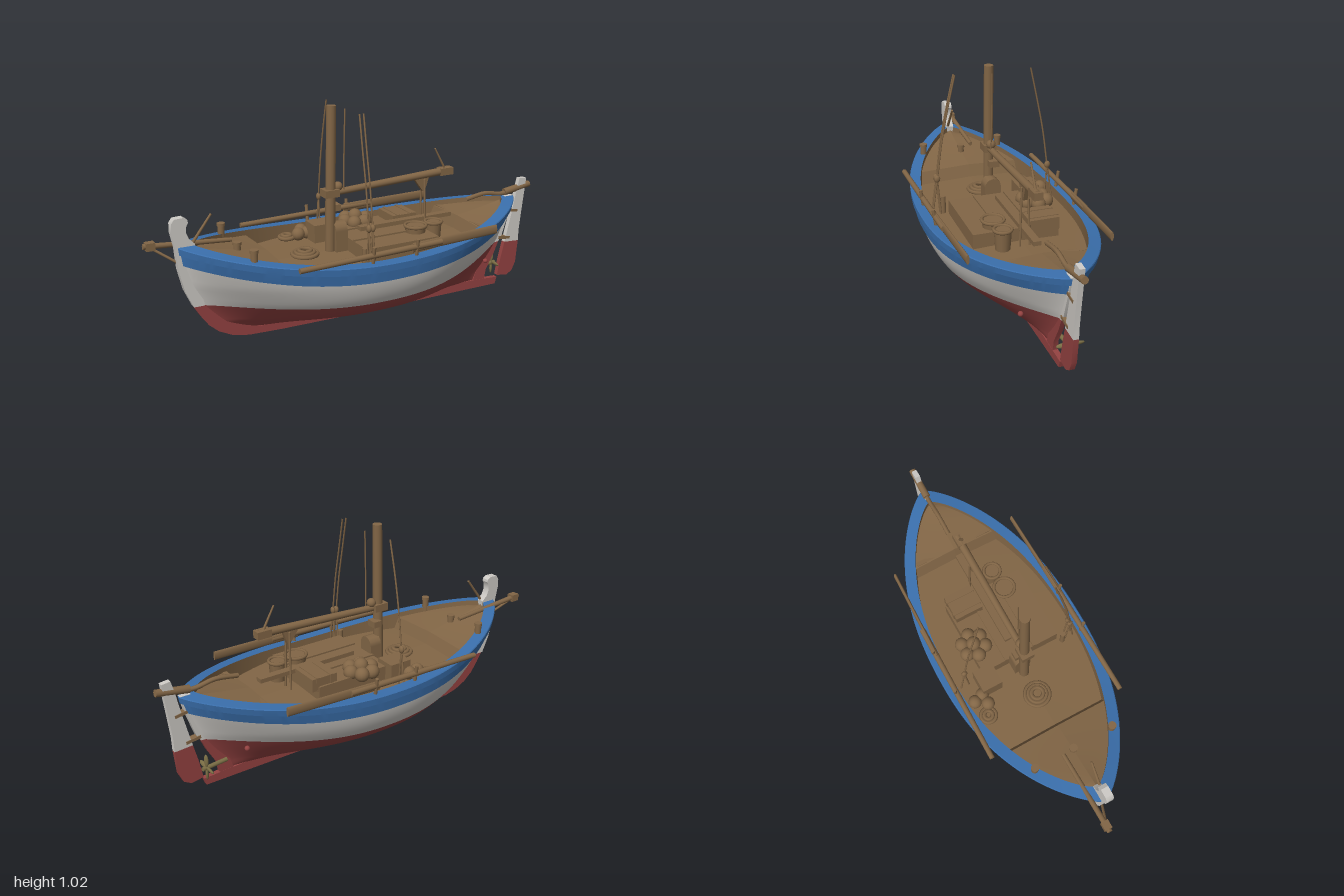
import * as THREE from 'three';
import { toCreasedNormals } from 'three/addons/utils/BufferGeometryUtils.js';

export function createModel() {
  const boat = new THREE.Group();
  boat.name = 'boat';
  const mat = (name, color) => {
    const m = new THREE.MeshStandardMaterial({ color });
    m.name = name;
    return m;
  };
  const wood = mat('wood', 0x826646), blue = mat('blue paint', 0x3a6fac);
  const white = mat('white paint', 0xcdcac5), red = mat('red paint', 0x944241);
  const bronze = mat('dull bronze', 0x7b6e45);

  // ---------- helpers ----------
  const add = (name, geo, m, p = [0, 0, 0], r = [0, 0, 0]) => {
    const mesh = new THREE.Mesh(geo, m);
    mesh.name = name;
    mesh.position.set(...p);
    mesh.rotation.set(...r);
    boat.add(mesh);
    return mesh;
  };
  const box = (name, size, p, m = wood, r) => add(name, new THREE.BoxGeometry(...size), m, p, r);
  const ball = (name, r, p, m = wood) => add(name, new THREE.SphereGeometry(r, 14, 10), m, p);
  const rod = (name, a, b, r0, r1 = r0, m = wood) => {
    const A = new THREE.Vector3(...a), B = new THREE.Vector3(...b), d = B.clone().sub(A);
    const mesh = add(name, new THREE.CylinderGeometry(r1, r0, d.length(), 12), m);
    mesh.position.copy(A).add(B).multiplyScalar(0.5);
    mesh.quaternion.setFromUnitVectors(new THREE.Vector3(0, 1, 0), d.normalize());
    return mesh;
  };
  const tube = (name, pts, r, m = wood) => add(name, new THREE.TubeGeometry(
    new THREE.CatmullRomCurve3(pts.map(p => new THREE.Vector3(...p))), 20, r, 7), m);
  const plate = (name, pts, t, m) => {
    const g = new THREE.ExtrudeGeometry(new THREE.Shape(pts.map(p => new THREE.Vector2(...p))),
      { depth: t, bevelEnabled: false });
    g.translate(0, 0, -t / 2);
    return add(name, toCreasedNormals(g, 0.6), m);
  };
  const interp = (table, k) => {
    let i = 0;
    while (i < table.length - 2 && k > table[i + 1][0]) i++;
    const [a, b] = [table[i], table[i + 1]];
    return a[1] + (b[1] - a[1]) * Math.min(1, Math.max(0, (k - a[0]) / (b[0] - a[0])));
  };

  // ---------- hull form: s runs from bow (-1) to stern (1) ----------
  const floor = 0.033;
  const bowX = [[0.03, -0.52], [0.05, -0.63], [0.1, -0.72], [0.2, -0.79], [0.3, -0.828], [0.4, -0.848], [0.5, -0.856]];
  const sternX = [[0.03, 0.72], [0.08, 0.73], [0.17, 0.78], [0.25, 0.82], [0.4, 0.865], [0.5, 0.882]];
  const sheer = s => 0.382 + (s < 0 ? 0.103 : 0.083) * s * s;
  const water = s => 0.175 + (s < 0 ? 0.025 : 0.055) * s * s;
  const hull = (s, y, off = 0) => {
    const rel = Math.min(1, Math.max(0, (y - floor) / (sheer(s) - floor)));
    // Full bilge with a hollow where the bottom meets the keel
    const w = 0.36 * Math.pow(1 - Math.pow(1 - rel, 2.5), 0.48) * rel / (rel + 0.014);
    const q = 0.76 + 1.1 * Math.pow(1 - rel, 1.5);
    const z = w * Math.pow(Math.max(0, 1 - Math.pow(Math.abs(s), 2.3)), q);
    const x = THREE.MathUtils.lerp(interp(bowX, y), interp(sternX, y), (s + 1) / 2);
    return [x + off * s * Math.abs(s) ** 3, y, z + off * (1 - s ** 6)];
  };
  const inner = (s, y) => {
    const [x, , z] = hull(s, sheer(s));
    return [x * 0.935, y, z * 0.9];
  };

  // Lofted strip, made for both sides; fn(s, v) gives the left side
  const strip = (name, m, nv, fn, crease = 0.7) => {
    const nu = 96;
    for (const side of [1, -1]) {
      const pos = [], idx = [];
      for (let j = 0; j <= nv; j++) for (let i = 0; i <= nu; i++) {
        const [x, y, z] = fn(-Math.cos(Math.PI * i / nu), j / nv, j);
        pos.push(x, y, z * side);
      }
      for (let j = 0; j < nv; j++) for (let i = 0; i < nu; i++) {
        const a = j * (nu + 1) + i, b = a + 1, c = b + nu + 1, d = a + nu + 1;
        if (side > 0) idx.push(a, b, c, a, c, d);
        else idx.push(a, c, b, a, d, c);
      }
      const g = new THREE.BufferGeometry();
      g.setAttribute('position', new THREE.Float32BufferAttribute(pos, 3));
      g.setIndex(idx);
      add(name + (side > 0 ? 'Left' : 'Right'), toCreasedNormals(g, crease), m);
    }
  };
  strip('bottom', red, 20, (s, v) => hull(s, floor + (water(s) - floor) * v * v), 1.2);
  strip('topside', white, 10, (s, v) => hull(s, water(s) + (sheer(s) - 0.07 - water(s)) * v));
  // Sheer strake, rubbing strip and cap: [height below sheer, outward offset]
  const railProfile = [[-0.084, 0], [-0.084, 0.01], [-0.036, 0.011], [-0.034, 0.018], [-0.004, 0.018], [0, 0.014]];
  strip('rail', blue, 6, (s, v, j) => j < 6
    ? hull(s, sheer(s) + railProfile[j][0], railProfile[j][1]) : inner(s, sheer(s)));
  // Level well deck between a raised foredeck and afterdeck
  const deckY = s => (s > -0.58 && s < 0.67 ? 0.333 : sheer(s) - 0.025);
  strip('bulwark', wood, 1, (s, v) => inner(s, v ? deckY(s) : sheer(s)));
  strip('deck', wood, 6, (s, v) => {
    const [x, y, z] = inner(s, deckY(s));
    return [x, y + 0.01 * v, z * (1 - v)];
  });

  // ---------- keel, stem and rudder ----------
  plate('keel', [[-0.62, 0.03], [-0.55, 0.012], [-0.4, 0.006], [0, 0], [0.8, 0], [0.81, 0.035], [0.72, 0.04], [0.6, 0.045], [0, 0.04], [-0.5, 0.045]], 0.024, red);
  plate('stemFoot', [[-0.81, 0.2], [-0.78, 0.15], [-0.745, 0.1], [-0.7, 0.06], [-0.64, 0.03], [-0.57, 0.013], [-0.5, 0.05], [-0.66, 0.1], [-0.76, 0.2]], 0.024, red);
  plate('stem', [[-0.76, 0.2], [-0.81, 0.2], [-0.845, 0.28], [-0.868, 0.38], [-0.876, 0.48], [-0.89, 0.55], [-0.889, 0.59],
    [-0.875, 0.61], [-0.835, 0.612], [-0.817, 0.6], [-0.815, 0.587], [-0.824, 0.57], [-0.826, 0.545], [-0.815, 0.515], [-0.79, 0.49], [-0.8, 0.4]], 0.036, white);
  plate('sternpost', [[0.75, 0.225], [0.81, 0.23], [0.83, 0.26], [0.875, 0.4], [0.89, 0.465], [0.84, 0.465]], 0.022, white);
  plate('skeg', [[0.66, 0.03], [0.73, 0.03], [0.74, 0.09], [0.785, 0.17], [0.81, 0.23], [0.72, 0.225]], 0.022, red);
  plate('rudderTop', [[0.85, 0.22], [0.935, 0.215], [0.937, 0.28], [0.95, 0.4], [0.967, 0.545], [0.925, 0.55], [0.912, 0.5], [0.885, 0.37]], 0.024, white);
  plate('rudderBlade', [[0.812, 0.045], [0.87, 0.035], [0.905, 0.055], [0.925, 0.1], [0.935, 0.215], [0.85, 0.22], [0.828, 0.13]], 0.024, red);
  for (const [x, y] of [[0.845, 0.245], [0.885, 0.385]]) box('rudderHinge', [0.07, 0.014, 0.03], [x, y, 0], wood, [0, 0, -0.15]);
  for (const z of [-0.125, 0.125]) ball('hullFitting', 0.012, [0.65, 0.19, z], red);

  // ---------- propeller ----------
  rod('propellerShaft', [0.7, 0.1, -0.02], [0.825, 0.1, -0.035], 0.01, 0.01, bronze);
  for (let i = 0; i < 4; i++) {
    const blade = ball('propellerBlade', 1, [0.805, 0.105, -0.035], bronze);
    const a = i * Math.PI / 2;
    blade.scale.set(0.007, 0.031, 0.011);
    blade.rotation.set(a, 0.5, 0);
    blade.position.y += Math.cos(a) * 0.032;
    blade.position.z += Math.sin(a) * 0.032;
  }

  // ---------- mast, boom and rigging ----------
  rod('mast', [-0.143, 0.33, 0], [-0.13, 1.02, 0], 0.024, 0.022);
  rod('boom', [-0.17, 0.615, 0], [0.5, 0.645, 0], 0.015, 0.019);
  box('boomJaw', [0.07, 0.035, 0.06], [-0.14, 0.62, 0]);
  box('boomEnd', [0.07, 0.035, 0.04], [0.48, 0.643, 0]);
  ball('mastBlock', 0.022, [-0.1, 0.645, 0]);
  box('mastCleat', [0.04, 0.03, 0.05], [-0.11, 0.545, -0.015]);
  rod('gaffStick', [0.48, 0.65, 0], [0.42, 0.76, 0], 0.006, 0.004);
  plate('boomBracket', [[0.3, 0.63], [0.385, 0.63], [0.36, 0.56], [0.35, 0.56]], 0.02, wood);
  for (const z of [-0.015, 0.015]) rod('boomSheet', [0.36, 0.34, z * 1.5], [0.355, 0.62, z], 0.005);
  tube('halyard', [[-0.065, 1.0, 0.005], [-0.07, 0.8, 0.005], [-0.075, 0.61, 0.01]], 0.0035);
  // One shroud to the right, two to the left, each with a block and lanyards
  for (const [side, x] of [[-1, -0.068], [1, -0.068], [1, -0.088]]) {
    tube('shroud', [[x, 0.53, side * 0.27], [x, 0.7, side * 0.246], [x, 0.85, side * 0.216], [x + 0.003, 1.01, side * 0.18]], 0.004);
    for (const z of [0.257, 0.298]) rod('lanyard', [x, 0.34, side * z], [x, 0.52, side * 0.272], 0.004);
    const block = ball('shroudBlock', 0.018, [x, 0.52, side * 0.272]);
    block.scale.set(0.6, 1, 0.8);
  }

  // ---------- oars along each rail ----------
  for (const side of [1, -1]) {
    const z = side * 0.338;
    rod('oarShaft', [-0.45, 0.412, z], [0.25, 0.425, z * 0.985], 0.012, 0.014);
    const blade = rod('oarBlade', [0.1, 0.42, z * 0.985], [0.56, 0.43, z * 0.95], 0.022, 0.022);
    blade.scale.z = 0.35;
    for (const x of [-0.1, 0.12]) rod('oarPost', [x, 0.36, side * 0.33], [x, 0.46, side * 0.345], 0.008);
  }

  // ---------- bow and stern spars ----------
  rod('bowsprit', [-0.995, 0.487, -0.055], [-0.6, 0.455, -0.055], 0.013, 0.01);
  box('bowspritEnd', [0.04, 0.035, 0.035], [-0.965, 0.485, -0.055]);
  rod('bowspritStay', [-0.96, 0.475, -0.05], [-0.865, 0.41, -0.01], 0.006);
  rod('bowPole', [-0.8, 0.49, 0.01], [-0.71, 0.61, 0.01], 0.007, 0.005);
  tube('tiller', [[0.61, 0.48, 0], [0.72, 0.495, 0], [0.82, 0.48, 0], [0.92, 0.495, 0]], 0.011);
  rod('tillerHead', [0.84, 0.485, 0], [0.992, 0.51, 0], 0.018, 0.016);
  for (const [z, top] of [[-0.2, 0.488], [0, 0.46], [0.2, 0.488]]) {
    rod('bollard', [-0.595, 0.37, z], [-0.595, top - 0.01, z], 0.016);
    rod('bollardCap', [-0.595, top - 0.014, z], [-0.595, top, z], 0.019);
  }

  // ---------- deck fittings ----------
  box('hatch', [0.38, 0.075, 0.4], [0.12, 0.367, 0.02]);
  for (const z of [-0.055, 0.095]) box('hatchBatten', [0.38, 0.008, 0.012], [0.12, 0.408, z]);
  box('foredeckBeam', [0.022, 0.02, 0.48], [-0.505, 0.388, 0]);
  box('afterdeckBeam', [0.02, 0.02, 0.4], [0.575, 0.392, 0]);
  box('centrePlank', [0.5, 0.02, 0.035], [0.26, 0.425, 0]);
  box('crate', [0.11, 0.09, 0.1], [-0.105, 0.38, -0.175]);
  box('chest', [0.13, 0.06, 0.14], [0.275, 0.415, -0.1]);
  for (const x of [0.24, 0.31]) box('chestStrap', [0.015, 0.066, 0.146], [x, 0.415, -0.1]);
  // Floats piled on the hatch
  for (let i = 0; i < 7; i++) {
    const a = i * Math.PI / 3;
    const r = i < 6 ? 0.055 : 0;
    ball('float', 0.034, [0.07 + Math.cos(a) * r, i < 6 ? 0.415 : 0.435, -0.155 + Math.sin(a) * r]);
  }
  for (const [x, z] of [[-0.165, -0.275], [-0.2, -0.225], [-0.15, -0.23]]) ball('buoy', 0.032, [x, 0.362, z]);
  // Baskets and rope coils
  for (const [x, z, r] of [[0.25, 0.11, 0.05], [0.355, 0.1, 0.04]]) {
    rod('basket', [x, 0.34, z], [x, 0.435, z], r * 0.85, r);
    add('basketRim', new THREE.TorusGeometry(r, 0.008, 6, 20), wood, [x, 0.435, z], [Math.PI / 2, 0, 0]);
  }
  const coil = (x, z, r, n) => {
    for (let i = 0; i < n; i++)
      add('ropeCoil', new THREE.TorusGeometry(r - i * 0.015, 0.01, 6, 20), wood, [x, 0.348 + i * 0.008, z], [Math.PI / 2, 0, 0]);
  };
  coil(-0.25, -0.25, 0.035, 2);
  coil(-0.27, 0, 0.058, 3);
  // Round-topped mast step and cleat post
  box('mastStep', [0.06, 0.1, 0.08], [-0.1, 0.39, 0]);
  rod('mastStepTop', [-0.13, 0.44, 0], [-0.07, 0.44, 0], 0.04);
  rod('cleatPost', [-0.09, 0.335, 0.24], [-0.09, 0.42, 0.24], 0.012);
  return boat;
}
